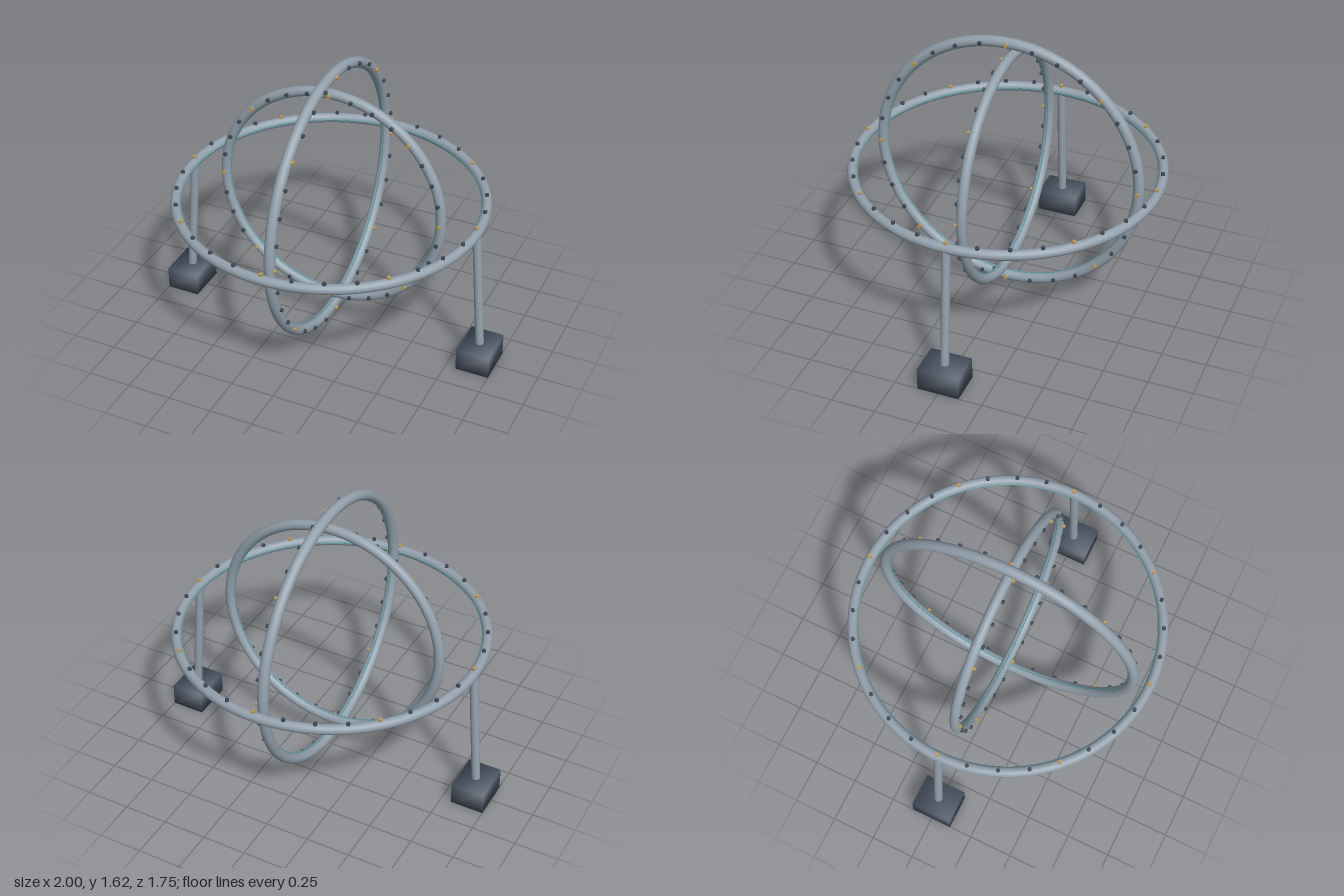
import * as THREE from 'three';
import { mergeVertices } from 'three/addons/utils/BufferGeometryUtils.js';

const CENTER_Y = 0.843;

const material = (name, color) => {
  const m = new THREE.MeshStandardMaterial({ color });
  m.name = name;
  return m;
};

export function createModel() {
  const steel = material('brushed steel', 0x93a1ad);
  const slate = material('dark slate', 0x475262);
  const stud = material('stud grey', 0x3f4a58);
  const gold = material('gold', 0xc09a50);
  const teal = material('teal', 0x4fa5ad);

  const model = new THREE.Group();
  model.name = 'ringSculpture';

  const add = (parent, name, geometry, mat) => {
    const mesh = new THREE.Mesh(geometry, mat);
    mesh.name = name;
    parent.add(mesh);
    return mesh;
  };

  // One ring in its own XY plane, with studs on its +z side and a thin inner line
  const makeRing = (name, radius, tube) => {
    const ring = new THREE.Group();
    ring.name = name;
    ring.position.y = CENTER_Y;
    add(ring, 'tube', new THREE.TorusGeometry(radius, tube, 20, 128), steel);
    add(ring, 'innerLine', new THREE.TorusGeometry(radius - tube, 0.003, 6, 128), teal);

    const studGeometry = new THREE.CylinderGeometry(0.011, 0.011, 0.018, 12).rotateX(Math.PI / 2);
    for (let i = 0; i < 32; i++) {
      const a = (i / 32) * Math.PI * 2;
      const isGold = i % 4 === 0;
      const s = add(ring, isGold ? 'goldStud' : 'stud', studGeometry, isGold ? gold : stud);
      s.position.set(Math.cos(a) * radius, Math.sin(a) * radius, tube + 0.003);
    }
    model.add(ring);
    return ring;
  };

  makeRing('horizontalRing', 0.848, 0.028).rotation.x = -Math.PI / 2;
  makeRing('sideRing', 0.75, 0.03).rotation.y = Math.PI / 2;
  makeRing('frontRing', 0.645, 0.028);

  // Block foot with softly blended normals
  const box = new THREE.BoxGeometry(0.19, 0.13, 0.236);
  box.deleteAttribute('normal');
  box.deleteAttribute('uv');
  const footGeometry = mergeVertices(box);
  footGeometry.computeVertexNormals();

  // Leaning leg and foot on each side
  for (const side of [1, -1]) {
    const label = side > 0 ? 'left' : 'right';
    const top = new THREE.Vector3(side * 0.848, CENTER_Y, 0);
    const bottom = new THREE.Vector3(side * 0.905, 0.08, 0);
    const axis = top.clone().sub(bottom);
    const leg = add(model, label + 'Leg', new THREE.CylinderGeometry(0.024, 0.024, axis.length(), 20), steel);
    leg.position.copy(top).add(bottom).multiplyScalar(0.5);
    leg.quaternion.setFromUnitVectors(new THREE.Vector3(0, 1, 0), axis.normalize());

    add(model, label + 'Foot', footGeometry, slate).position.set(side * 0.905, 0.065, 0);
  }

  return model;
}
